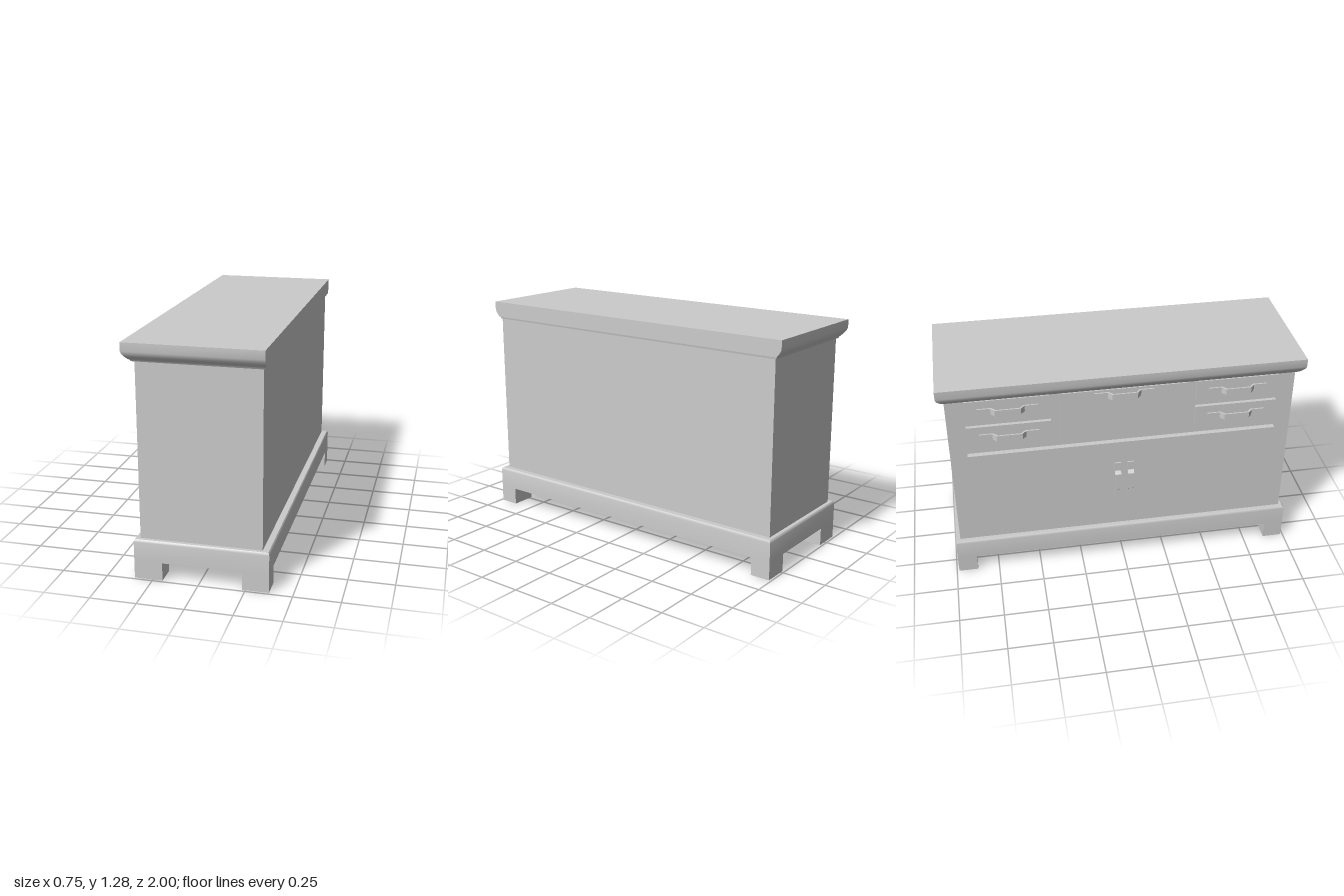
import * as THREE from 'three';
import { toCreasedNormals } from 'three/addons/utils/BufferGeometryUtils.js';

const material = new THREE.MeshStandardMaterial({ color: 0xcccccc });

// Closed loft through rectangular rings, bottom to top: [xMin, xMax, halfZ, y]
function loft(rings) {
  const positions = [], index = [];
  for (const [x0, x1, z, y] of rings) {
    positions.push(x0, y, -z, x0, y, z, x1, y, z, x1, y, -z);
  }
  for (let r = 0; r < rings.length - 1; r++) {
    for (let i = 0; i < 4; i++) {
      const a = r * 4 + i, b = r * 4 + (i + 1) % 4;
      index.push(a, b, b + 4, a, b + 4, a + 4);
    }
  }
  const t = (rings.length - 1) * 4;
  index.push(0, 2, 1, 0, 3, 2, t, t + 1, t + 2, t, t + 2, t + 3);
  const geometry = new THREE.BufferGeometry();
  geometry.setAttribute('position', new THREE.Float32BufferAttribute(positions, 3));
  geometry.setIndex(index);
  return toCreasedNormals(geometry, 0.5);
}

// Bent strap handle: flat feet at both ends, raised grip in the middle
function handleGeometry(length, rise, width) {
  const h = length / 2, t = 0.008;
  const outer = [[h, t], [h * 0.56, t], [h * 0.43, rise], [-h * 0.43, rise], [-h * 0.56, t], [-h, t]];
  const inner = [[-h, 0], [-h * 0.52, 0], [-h * 0.39, rise - t], [h * 0.39, rise - t], [h * 0.52, 0], [h, 0]];
  const shape = new THREE.Shape([...outer, ...inner].map(([x, y]) => new THREE.Vector2(x, y)));
  return new THREE.ExtrudeGeometry(shape, { depth: width, bevelEnabled: false }).translate(0, 0, -width / 2);
}

export function createModel() {
  const group = new THREE.Group();

  const add = (name, geometry) => {
    const mesh = new THREE.Mesh(geometry, material);
    mesh.name = name;
    group.add(mesh);
    return mesh;
  };
  const box = (name, x0, x1, y0, y1, z0, z1) =>
    add(name, new THREE.BoxGeometry(x1 - x0, y1 - y0, z1 - z0))
      .position.set((x0 + x1) / 2, (y0 + y1) / 2, (z0 + z1) / 2);

  // Carcass
  box('body', -0.32, 0.335, 0.2, 1.2, -0.96, 0.96);

  // Worktop with a moulded edge on the drawer side and both ends, flat at the wall
  add('top', loft([
    [-0.335, 0.34, 0.965, 1.178],
    [-0.345, 0.342, 0.97, 1.188],
    [-0.352, 0.35, 0.972, 1.19],
    [-0.364, 0.35, 0.984, 1.204],
    [-0.375, 0.35, 0.995, 1.219],
    [-0.38, 0.35, 1.0, 1.234],
    [-0.38, 0.35, 1.0, 1.28],
  ]));

  // Plinth with a softened upper edge
  add('plinth', loft([
    [-0.35, 0.375, 0.987, 0.1],
    [-0.35, 0.375, 0.987, 0.207],
    [-0.348, 0.373, 0.985, 0.216],
    [-0.343, 0.368, 0.98, 0.222],
  ]));

  // Feet
  for (const s of [-1, 1]) {
    const z0 = s > 0 ? 0.875 : -0.987, z1 = s > 0 ? 0.987 : -0.875;
    box('frontFoot', -0.35, -0.197, 0, 0.1, z0, z1);
    box('backFoot', 0.233, 0.375, 0, 0.1, z0, z1);
  }

  // Drawers, each with a horizontal handle
  const drawerHandle = handleGeometry(0.325, 0.032, 0.035);
  const drawer = (name, y0, y1, z, width, handleY) => {
    box(name, -0.34, -0.315, y0, y1, z - width / 2, z + width / 2);
    const handle = add(name + 'Handle', drawerHandle);
    handle.rotation.set(Math.PI / 2, 0, Math.PI / 2);
    handle.position.set(-0.34, handleY, z);
  };
  drawer('centreDrawer', 0.88, 1.176, 0, 0.7, 1.145);
  for (const z of [-0.63, 0.63]) {
    drawer('upperDrawer', 1.046, 1.176, z, 0.46, 1.112);
    drawer('lowerDrawer', 0.88, 1.011, z, 0.46, 0.947);
  }

  // Pair of doors meeting in the middle, with upright handles
  const doorHandle = handleGeometry(0.245, 0.026, 0.035);
  for (const s of [-1, 1]) {
    box('door', -0.35, -0.315, 0.286, 0.829, Math.min(0, s * 0.865), Math.max(0, s * 0.865));
    const handle = add('doorHandle', doorHandle);
    handle.rotation.z = Math.PI / 2;
    handle.position.set(-0.35, 0.568, s * 0.037);
  }

  return group;
}
